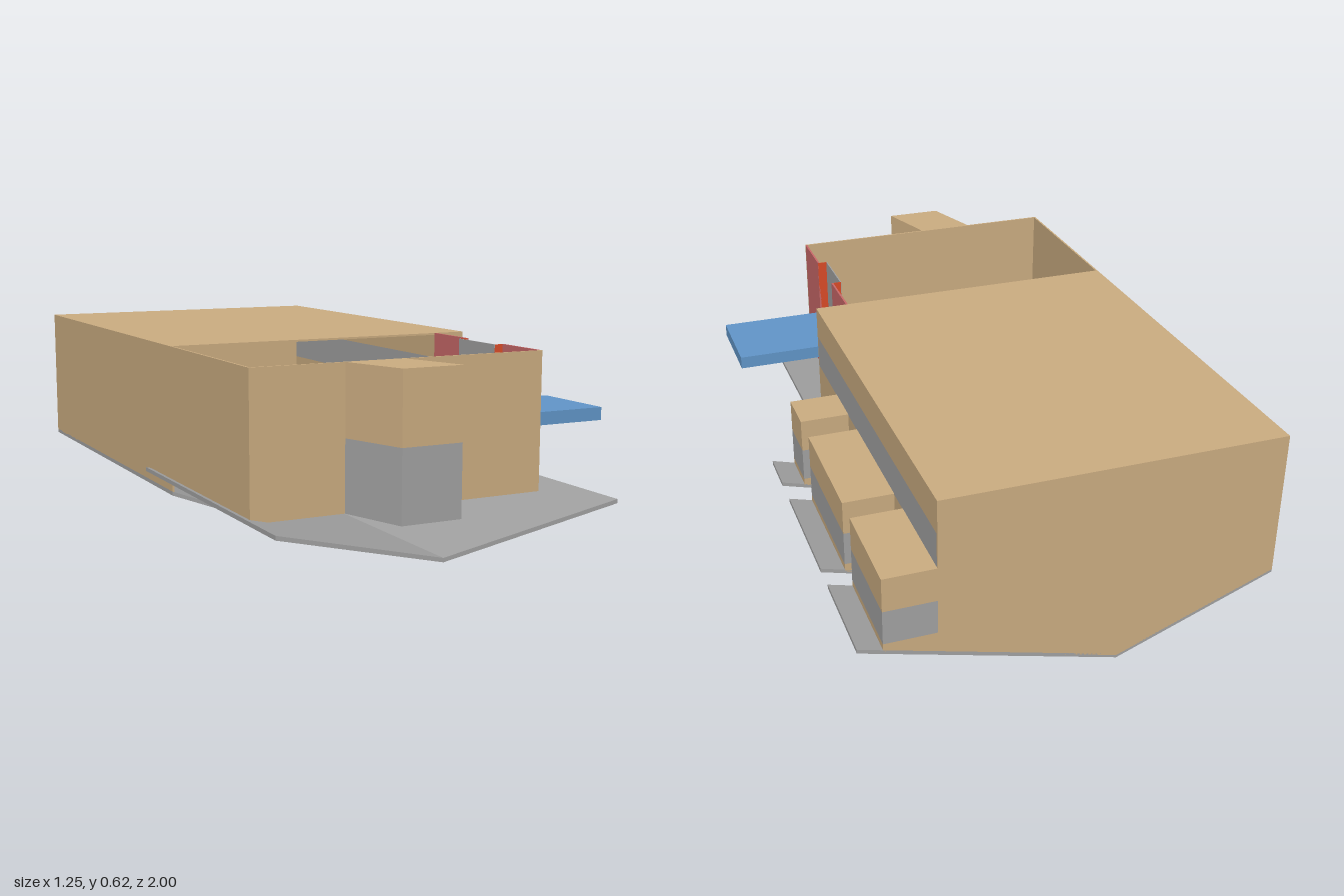
import * as THREE from 'three';

const mat = (name, color) => {
  const m = new THREE.MeshStandardMaterial({ color });
  m.name = name;
  return m;
};

export function createModel() {
  const model = new THREE.Group();
  const tan = mat('tan', 0xcdae82);
  const grey = mat('grey', 0xa3a3a3);
  const red = mat('dull red', 0xcb6a6a);
  const orange = mat('orange red', 0xdb4c28);
  const blue = mat('blue', 0x6297ca);
  const T = 0.006; // wall thickness

  const add = (name, geometry, material) => {
    const mesh = new THREE.Mesh(geometry, material);
    mesh.name = name;
    model.add(mesh);
  };
  // Box given by its limits
  const box = (name, m, x0, x1, y0, y1, z0, z1) => {
    const g = new THREE.BoxGeometry(x1 - x0, y1 - y0, z1 - z0);
    g.translate((x0 + x1) / 2, (y0 + y1) / 2, (z0 + z1) / 2);
    add(name, g, m);
  };
  // Outline in x, y extruded along z
  const prism = (name, m, pts, z0, z1) => {
    const shape = new THREE.Shape(pts.map(([x, y]) => new THREE.Vector2(x, y)));
    const g = new THREE.ExtrudeGeometry(shape, { depth: z1 - z0, bevelEnabled: false });
    add(name, g.translate(0, 0, z0), m);
  };
  // Outline in x, z extruded upwards, raised by a rule of x
  const slab = (name, m, pts, y0, y1, rise = () => 0) => {
    const shape = new THREE.Shape(pts.map(([x, z]) => new THREE.Vector2(x, -z)));
    const g = new THREE.ExtrudeGeometry(shape, { depth: y1 - y0, bevelEnabled: false });
    g.rotateX(-Math.PI / 2).translate(0, y0, 0);
    const p = g.attributes.position;
    for (let i = 0; i < p.count; i++) p.setY(i, p.getY(i) + rise(p.getX(i)));
    g.computeVertexNormals();
    add(name, g, m);
  };

  // Sloping base under the main hall, notched between the side bays
  const baseX = -0.135;
  const baseRise = x => (x < baseX ? (baseX - x) * 0.385 : (x - baseX) * 0.28);
  const bays = [[-1, -0.7], [-0.62, -0.23], [-0.13, 0.01]];
  const edge = bays.flatMap(([a, b], i) => {
    const tab = [[0.61, a], [0.61, b], [0.455, b]];
    return i ? [[0.455, a], ...tab] : tab;
  });
  slab('baseLeftSlope', grey, [[baseX, -1], ...edge, [0.455, 0.24], [baseX, 0.02]], 0, 0.012, baseRise);
  slab('baseRightSlope', grey, [[-0.61, -1], [baseX, -1], [baseX, 0.24], [-0.61, 0.24]], 0, 0.012, baseRise);

  // Shallow sloping deck under the courtyard
  const deckX = -0.145;
  const deckRise = x => (x < deckX ? (deckX - x) * 0.237 : (x - deckX) * 0.177);
  for (const [name, a, b] of [['deckRightSlope', -0.625, deckX], ['deckLeftSlope', deckX, 0.42]]) {
    slab(name, grey, [[a, 0.05], [b, 0.05], [b, 1], [a, 1]], 0.11, 0.122, deckRise);
  }

  // Main hall, open towards the courtyard
  const top = 0.625;
  box('roof', tan, -0.61, 0.39, top - T, top, -1, 0.24);
  prism('backWall', tan, [[-0.61, 0.19], [baseX, 0.008], [0.39, 0.155], [0.39, top - T], [-0.61, top - T]], -1, -1 + T);
  box('rightWall', tan, -0.61, -0.61 + T, 0.192, top - T, -1 + T, 0.24);
  box('leftWallLower', tan, 0.39 - T, 0.39, 0.157, 0.42, -1 + T, 0.24 - T);
  box('leftWallBand', grey, 0.39 - T, 0.39, 0.42, 0.525, -1 + T, 0.24 - T);
  box('leftWallUpper', tan, 0.39 - T, 0.39, 0.525, top - T, -1 + T, 0.24 - T);
  box('frontReturnWall', tan, 0.29, 0.39, 0.165, top - T, 0.24 - T, 0.24);

  // Side bays with a grey band
  for (const [a, b] of bays) {
    prism('bayFoot', tan, [[0.39, 0.155], [0.54, 0.196], [0.54, 0.22], [0.39, 0.22]], a, b);
    box('bayBand', grey, 0.39, 0.54, 0.22, 0.322, a, b);
    box('bayTop', tan, 0.39, 0.54, 0.322, 0.423, a, b);
  }

  // Courtyard walls
  box('courtyardRightWall', tan, -0.61, -0.61 + T, 0.22, top, 0.24, 0.81 - T);
  box('courtyardFrontWall', tan, -0.61, 0.29, 0.22, top, 0.81 - T, 0.81);

  // Red wall with the doorway
  const redWall = (y1, z0, z1) => box('redWall', red, 0.29 - T, 0.29, 0.22, y1, z0, z1);
  redWall(top, 0.24, 0.43);
  redWall(0.42, 0.43, 0.62);
  redWall(top, 0.62, 0.81 - T);
  box('door', grey, 0.256, 0.26, 0.42, top, 0.43, 0.62);
  box('doorSill', orange, 0.26, 0.291, 0.418, 0.423, 0.43, 0.62);
  for (const z of [0.428, 0.62]) box('doorJamb', orange, 0.258, 0.2895, 0.42, top, z, z + 0.002);

  // Blue landing outside the door
  box('landing', blue, 0.255, 0.625, 0.38, 0.42, 0.38, 0.66);

  // Slanted pier on the front wall
  const pier = [[-0.335, 0.81], [-0.155, 0.81], [-0.092, 1], [-0.272, 1]];
  slab('pierLower', grey, pier, 0.22, 0.423);
  slab('pierUpper', tan, pier, 0.423, top);

  return model;
}
